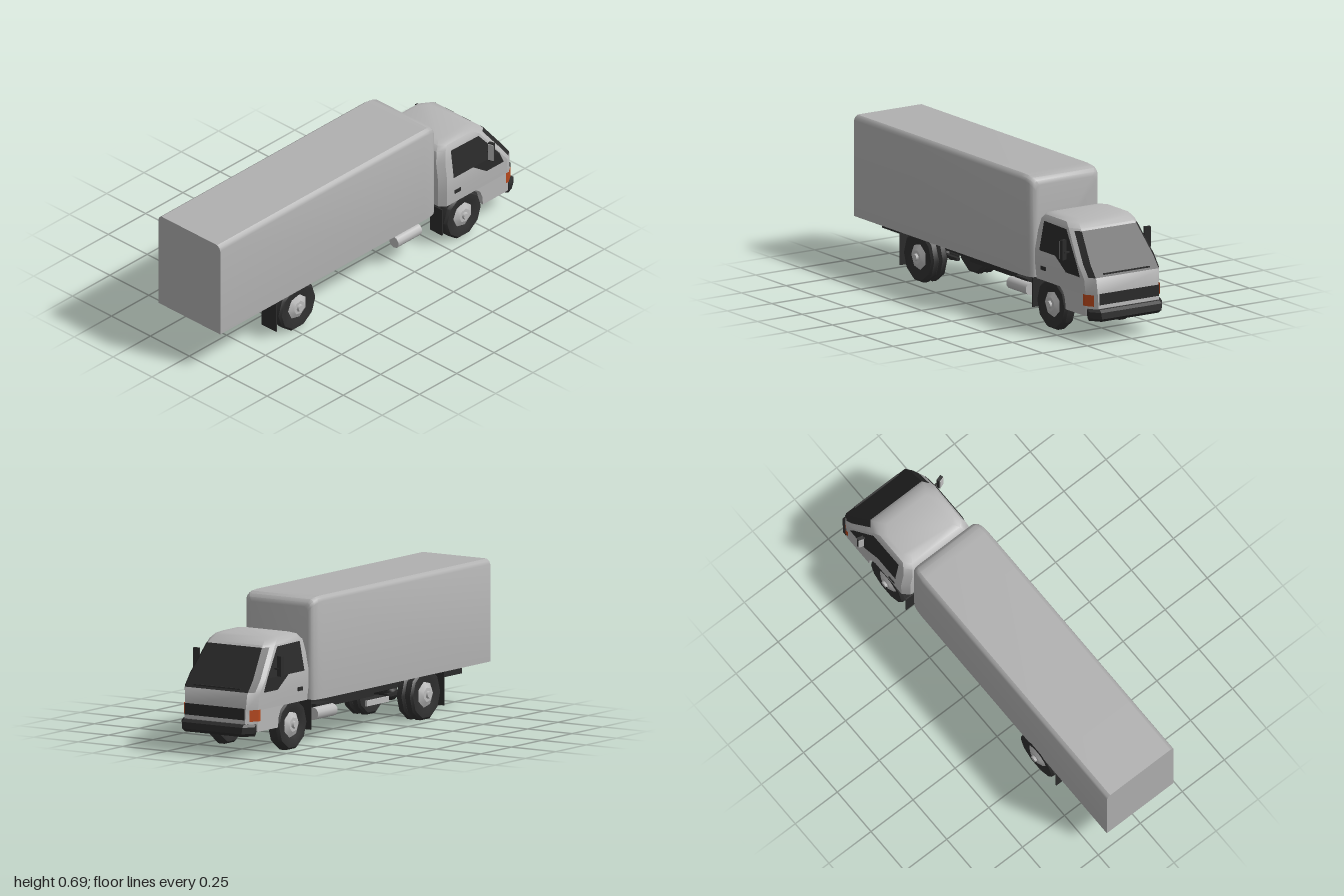
import * as THREE from 'three';
import { toCreasedNormals } from 'three/addons/utils/BufferGeometryUtils.js';

const mat = (name, color, side = THREE.FrontSide) => {
  const m = new THREE.MeshStandardMaterial({ color, side });
  m.name = name;
  return m;
};

// Skin a list of rings (arrays of [x, y, z]); closed rings also get end caps.
function loft(rings, closed = true) {
  const n = rings[0].length, index = [];
  for (let i = 0; i < rings.length - 1; i++)
    for (let j = 0; j < (closed ? n : n - 1); j++) {
      const k = (j + 1) % n, a = i * n + j, b = i * n + k;
      index.push(a, b, b + n, a, b + n, a + n);
    }
  const last = (rings.length - 1) * n;
  if (closed)
    for (let j = 1; j < n - 1; j++) index.push(0, j + 1, j, last, last + j, last + j + 1);
  const g = new THREE.BufferGeometry();
  g.setAttribute('position', new THREE.Float32BufferAttribute(rings.flat(2), 3));
  g.setIndex(index);
  return toCreasedNormals(g, 0.6);
}

// Horizontal outline with chamfered corners, from back edge zb to front edge zf.
function planRing([y, w, zb, zf]) {
  const half = [[w - 0.03, y, zb], [w, y, zb - 0.03], [w, y, zf + 0.05], [w - 0.035, y, zf]];
  return [...half, ...half.map(([x, h, z]) => [-x, h, z]).reverse()];
}

const cabWidth = y => (y < 0.36 ? 0.21 : 0.21 - (y - 0.36) * 0.172);
const cabFront = y => -0.965 + (y - 0.295) * 0.786;

export function createModel() {
  const truck = new THREE.Group();
  truck.name = 'boxTruck';
  const M = {
    cargo: mat('cargoGrey', 0xb0b0b0),
    cab: mat('cabGrey', 0xb6b6b6),
    metal: mat('metalGrey', 0xbcbcbc),
    glass: mat('darkGlass', 0x2a2a2a, THREE.DoubleSide),
    rubber: mat('tyreBlack', 0x303030),
    black: mat('chassisBlack', 0x2b2b2b),
    orange: mat('indicatorOrange', 0xb8481c, THREE.DoubleSide),
  };
  const add = (name, geo, material, x = 0, y = 0, z = 0) => {
    const m = new THREE.Mesh(geo, material);
    m.name = name;
    m.position.set(x, y, z);
    truck.add(m);
    return m;
  };
  const box = (name, material, w, h, d, x, y, z) =>
    add(name, new THREE.BoxGeometry(w, h, d), material, x, y, z);
  const strip = (name, rows, material) => add(name, loft(rows, false), material);

  // Cargo body with rounded front edges and chamfered roof edges
  const sections = [[-0.456, 0.045], [-0.45, 0.025], [-0.435, 0.011], [-0.41, 0.003], [-0.37, 0], [1, 0]];
  add('cargoBox', loft(sections.map(([z, inset]) => {
    const h = 0.199 - inset * 0.7, t = 0.689 - inset;
    return [[h, 0.207, z], [h, t - 0.025, z], [h - 0.006, t - 0.01, z], [h - 0.02, t, z],
      [-h + 0.02, t, z], [-h + 0.006, t - 0.01, z], [-h, t - 0.025, z], [-h, 0.207, z]];
  })), M.cargo);

  // Cab shell: stacked outlines [y, half width, back z, front z]
  add('cabShell', loft([
    [0.22, 0.205, -0.485, -0.97],
    [0.295, 0.21, -0.48, cabFront(0.295)],
    [0.36, 0.21, -0.48, cabFront(0.36)],
    [0.45, cabWidth(0.45), -0.483, cabFront(0.45)],
    [0.505, cabWidth(0.505), -0.495, cabFront(0.505)],
    [0.527, 0.173, -0.515, -0.765],
    [0.537, 0.15, -0.545, -0.735],
  ].map(planRing)), M.cab);

  // Lower cab front, cut away for the wheel arch
  const skirt = new THREE.Shape([
    [-0.92, 0.12], [-0.755, 0.12], [-0.75, 0.165], [-0.735, 0.2], [-0.7, 0.225],
    [-0.92, 0.225], [-0.97, 0.225], [-0.975, 0.16],
  ].map(p => new THREE.Vector2(...p)));
  const skirtGeo = new THREE.ExtrudeGeometry(skirt, { depth: 0.41, bevelEnabled: false });
  skirtGeo.rotateY(-Math.PI / 2).translate(0.205, 0, 0);
  const sp = skirtGeo.attributes.position;
  for (let i = 0; i < sp.count; i++)
    if (sp.getZ(i) < -0.95) sp.setX(i, Math.sign(sp.getX(i)) * 0.17);
  skirtGeo.computeVertexNormals();
  add('cabSkirt', skirtGeo, M.cab);

  // Windscreen wrapping onto the cab corners
  strip('windscreen', [0.305, 0.36, 0.496].map(y => {
    const w = cabWidth(y), z = cabFront(y) - 0.004;
    const half = [[w - 0.012, y, z + 0.029], [w - 0.034, y, z]];
    return [...half, ...half.map(([x, h, d]) => [-x, h, d]).reverse()];
  }), M.glass);

  // Grille band, bumper and wiper
  strip('grille', [0.178, 0.232].map(y => [[0.168, y, -0.978], [-0.168, y, -0.978]]), M.glass);
  add('bumper', loft([
    [0.1, 0.195, -0.9, -0.985], [0.115, 0.202, -0.9, -1], [0.145, 0.205, -0.9, -0.997],
    [0.157, 0.202, -0.9, -0.982],
  ].map(planRing)), M.black);
  box('wiper', M.black, 0.26, 0.006, 0.008, 0, 0.318, -0.955);

  for (const s of [1, -1]) {
    // Side window in two flat panes
    for (const pane of [
      [[-0.555, 0.5], [-0.74, 0.497], [-0.855, 0.362], [-0.55, 0.362]],
      [[-0.68, 0.362], [-0.855, 0.362], [-0.885, 0.3], [-0.77, 0.3]],
    ]) {
      const [a, b, c, d] = pane.map(([z, y]) => [s * (cabWidth(y) + 0.004), y, z]);
      strip('sideWindow', s > 0 ? [[c, d], [b, a]] : [[d, c], [a, b]], M.glass);
    }
    box('doorHandle', M.black, 0.008, 0.018, 0.04, s * 0.209, 0.28, -0.58);

    // Corner indicator
    const lamp = [0.17, 0.224].map(y =>
      [[s * 0.209, y, -0.905], [s * 0.21, y, -0.922], [s * 0.184, y, -0.96]]);
    strip('indicator', s > 0 ? lamp : lamp.map(r => r.reverse()), M.orange);

    // Wing mirror
    box('mirrorShell', M.black, 0.03, 0.095, 0.016, s * 0.236, 0.413, -0.78).rotation.y = s * 0.3;
    box('mirrorFace', M.metal, 0.026, 0.085, 0.004, s * 0.239, 0.413, -0.771).rotation.y = s * 0.3;
    box('mirrorArm', M.black, 0.04, 0.008, 0.008, s * 0.213, 0.4, -0.785);

    // Chassis rails, leaf springs and mudflaps
    box('rail', M.black, 0.025, 0.055, 1.1, s * 0.08, 0.165, -0.35);
    box('rearRail', M.black, 0.025, 0.04, 0.74, s * 0.08, 0.172, 0.555);
    box('floorBearer', M.black, 0.02, 0.02, 1.38, s * 0.08, 0.199, 0.24);
    for (const z of [0.476, -0.63]) box('leafSpring', M.black, 0.02, 0.014, 0.34, s * 0.085, 0.125, z);
    box('rearMudflap', M.black, 0.094, 0.158, 0.006, s * 0.152, 0.128, 0.622);
    box('frontMudflap', M.black, 0.075, 0.14, 0.006, s * 0.168, 0.145, -0.482);

    // Side tank
    const tank = new THREE.CylinderGeometry(0.03, 0.03, 0.16, 10).rotateX(Math.PI / 2);
    add('sideTank', tank, M.metal, s * 0.145, 0.132, -0.3);
    box('tankBracket', M.black, 0.06, 0.02, 0.1, s * 0.115, 0.162, -0.3);
  }
  box('sidePlate', M.metal, 0.012, 0.025, 0.18, -0.15, 0.125, 0.14);

  // Cross members and cab mount
  for (const z of [0.91, 0.62, 0.33, 0, -0.2, -0.45, -0.85])
    box('crossMember', M.black, 0.15, 0.025, 0.025, 0, 0.172, z);
  box('cabMount', M.black, 0.18, 0.05, 0.05, 0, 0.21, -0.465);

  // Wheels: tyre and hub, turned about x
  const wheel = (x, z, width, hubbed) => {
    const h = width / 2;
    const tyre = new THREE.LatheGeometry([[0, -h * 0.6], [0.065, -h * 0.7], [0.085, -h], [0.112, -h],
      [0.123, -h * 0.55], [0.123, h * 0.55], [0.112, h], [0.085, h], [0.065, h * 0.7], [0, h * 0.6]]
      .map(p => new THREE.Vector2(...p)), 10).rotateZ(-Math.PI / 2);
    add('tyre', toCreasedNormals(tyre, 0.7), M.rubber, x, 0.118, z);
    if (!hubbed) return;
    const s = Math.sign(x);
    const hub = new THREE.CylinderGeometry(0.035, 0.066, 0.016, 7).rotateZ(-s * Math.PI / 2);
    add('hub', hub.toNonIndexed(), M.metal, x + s * (h * 0.7 + 0.006), 0.118, z);
    const cap = new THREE.CylinderGeometry(0.016, 0.02, 0.014, 7).rotateZ(-s * Math.PI / 2);
    add('hubCap', cap, M.metal, x + s * (h * 0.7 + 0.018), 0.118, z);
  };
  for (const s of [1, -1]) {
    wheel(s * 0.172, -0.63, 0.062, true);
    wheel(s * 0.176, 0.476, 0.046, true);
    wheel(s * 0.129, 0.476, 0.044, false);
  }

  // Axles, differential and drive shaft
  for (const z of [0.476, -0.63])
    add('axle', new THREE.CylinderGeometry(0.016, 0.016, 0.3, 8).rotateZ(Math.PI / 2), M.black, 0, 0.11, z);
  add('differential', new THREE.SphereGeometry(0.035, 8, 6), M.black, 0, 0.11, 0.476);
  add('driveShaft', new THREE.CylinderGeometry(0.01, 0.01, 0.9, 8).rotateX(Math.PI / 2), M.black, 0, 0.135, 0.02);
  box('gearbox', M.black, 0.11, 0.09, 0.32, 0, 0.175, -0.58);

  return truck;
}
